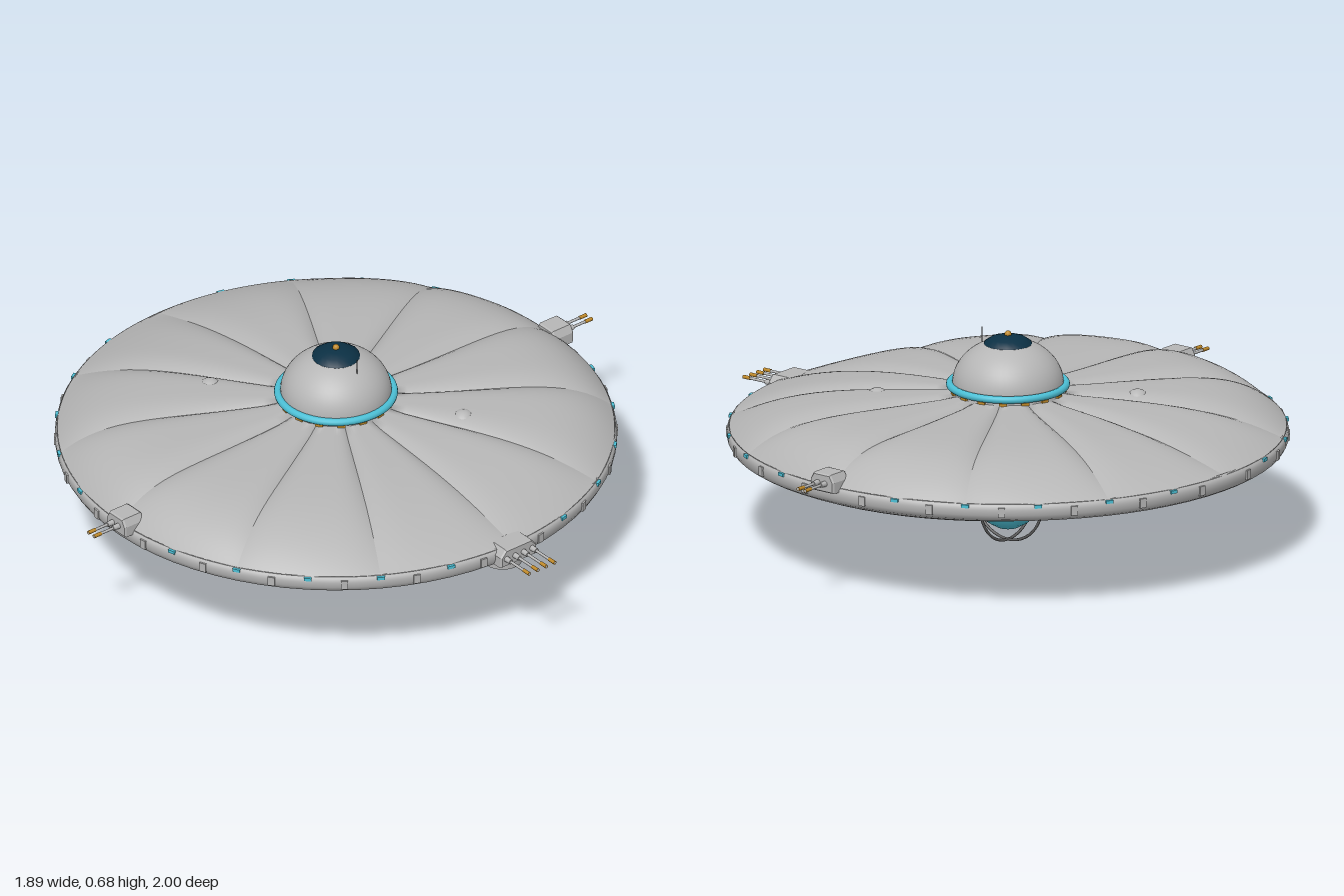
import * as THREE from 'three';
import { ParametricGeometry } from 'three/addons/geometries/ParametricGeometry.js';

const mat = (name, color, side = THREE.FrontSide) => {
  const m = new THREE.MeshStandardMaterial({ color, side });
  m.name = name;
  return m;
};

export function createModel() {
  const hull = mat('hull grey', 0xb6b6b6, THREE.DoubleSide);
  const steel = mat('dark steel', 0x5c5c5c);
  const teal = mat('teal', 0x4cc0d6);
  const navy = mat('dark glass', 0x0b3044);
  const gold = mat('gold', 0xc08a2a);

  const model = new THREE.Group();
  model.name = 'saucer';
  const craft = new THREE.Group();
  craft.name = 'craft';
  craft.position.x = -0.07; // the long nose cannon shifts the disc off centre
  model.add(craft);

  const add = (name, geo, material, x = 0, y = 0, z = 0, parent = craft) => {
    const m = new THREE.Mesh(geo, material);
    m.name = name;
    m.position.set(x, y, z);
    parent.add(m);
    return m;
  };
  const lathe = (pts, seg = 64) => new THREE.LatheGeometry(pts.map(p => new THREE.Vector2(...p)), seg);
  const cyl = (r1, r2, h, seg = 24) => new THREE.CylinderGeometry(r1, r2, h, seg);

  // Disc: fuller towards front and back than towards the sides
  const R = 0.868;
  const fullness = (a, lo, hi) => lo + (hi - lo) * Math.sin(a) ** 2;

  // Twelve puffed upper panels meeting in sharp valleys
  for (let k = 0; k < 12; k++) {
    const panel = (u, v, out) => {
      const a = (k + v) * Math.PI / 6;
      const s = 1 - (1 - u) ** 2;
      const r = 0.15 + (R - 0.15) * s;
      const valley = 0.02 * Math.abs(2 * v - 1) ** 4 * Math.sqrt(Math.max(0, s * (1 - s) * 4));
      const y = 0.375 + 0.115 * (1 - (r / R) ** fullness(a, 3.2, 9)) - valley;
      out.set(r * Math.cos(a), y, -r * Math.sin(a));
    };
    add('upperPanel' + (k + 1), new ParametricGeometry(panel, 18, 16), hull);
  }

  // Smooth belly
  add('belly', new ParametricGeometry((u, v, out) => {
    const a = v * Math.PI * 2;
    const s = 0.02 + 0.98 * (1 - (1 - u) ** 2);
    const y = 0.318 - 0.066 * (1 - s ** fullness(a, 2.4, 6));
    out.set(s * 0.855 * Math.cos(a), y, s * 0.855 * Math.sin(a));
  }, 18, 72), hull);

  // Rim band with blocks and lights
  add('rim', lathe([[0.85, 0.316], [0.866, 0.325], [0.874, 0.34], [0.875, 0.357], [0.872, 0.37], [0.86, 0.378]], 72), hull);
  for (let i = 0; i < 24; i++) {
    const place = (name, geo, m, a, y) => {
      add(name, geo, m, Math.sin(a) * 0.873, y, Math.cos(a) * 0.873).rotation.y = a;
    };
    const a = i * Math.PI / 12;
    if (i % 6) place('rimLight', new THREE.BoxGeometry(0.024, 0.01, 0.009), teal, a, 0.368);
    place('rimBlock', new THREE.BoxGeometry(0.022, 0.03, 0.01), hull, a + Math.PI / 24, 0.35);
  }

  // Cabin dome on its collar
  add('domeCollar', cyl(0.172, 0.18, 0.045, 48), hull, 0, 0.487);
  add('domeRing', new THREE.TorusGeometry(0.181, 0.012, 12, 64), teal, 0, 0.51).rotation.x = Math.PI / 2;
  for (let i = 0; i < 16; i++) {
    const a = (i + 0.5) * Math.PI / 8;
    add('collarLight', new THREE.BoxGeometry(0.025, 0.009, 0.009), gold,
      Math.sin(a) * 0.178, 0.493, Math.cos(a) * 0.178).rotation.y = a;
  }
  const dome = add('dome', new THREE.SphereGeometry(0.174, 48, 16, 0, Math.PI * 2, 0, Math.PI / 2), hull, 0, 0.512);
  dome.scale.y = 0.82;
  add('domeCap', lathe([[0.077, 0.634], [0.074, 0.645], [0.055, 0.658], [0.03, 0.666], [0, 0.669]], 20), navy);
  add('capTip', new THREE.SphereGeometry(0.011, 12, 8), gold, 0, 0.671);
  add('antenna', cyl(0.002, 0.002, 0.075, 6), steel, 0.104, 0.638);

  // Two sensor bubbles on the deck
  for (const [x, z] of [[0.32, -0.25], [-0.32, 0.245]]) {
    add('sensor', new THREE.SphereGeometry(0.04, 20, 12), hull, x, 0.455, z);
    add('sensorLight', new THREE.SphereGeometry(0.009, 8, 6), teal, x + 0.033, 0.474, z);
  }

  // Belly collar, glowing orb and its cage
  add('bellyCollar', lathe([[0, 0.212], [0.15, 0.209], [0.235, 0.207], [0.25, 0.211], [0.255, 0.219],
    [0.25, 0.227], [0.225, 0.235], [0.21, 0.256], [0, 0.262]], 48), hull);
  add('orbRing', new THREE.TorusGeometry(0.135, 0.009, 10, 48), teal, 0, 0.207).rotation.x = Math.PI / 2;
  add('orb', new THREE.SphereGeometry(0.102, 14, 9), teal, 0, 0.143);
  const hoop = new THREE.TorusGeometry(0.136, 0.0045, 8, 48);
  add('cageHoopFront', hoop, steel, 0, 0.141);
  add('cageHoopSide', hoop, steel, 0, 0.141).rotation.y = Math.PI / 2;
  add('cageHoopLevel', hoop, steel, 0, 0.141).rotation.x = Math.PI / 2;

  // Gun turret facing +z, turned to its bearing
  const turret = (name, bearing, y, offset, width, barrels, gap, tip) => {
    const g = new THREE.Group();
    g.name = name;
    g.rotation.y = bearing;
    craft.add(g);
    const shape = new THREE.Shape([[-0.5, -0.025], [0.5, -0.025], [0.5, 0.005], [0.36, 0.026], [-0.36, 0.026], [-0.5, 0.005]]
      .map(([a, b]) => new THREE.Vector2(a * width, b)));
    const body = new THREE.ExtrudeGeometry(shape, { depth: 0.065, bevelEnabled: true, bevelSize: 0.004, bevelThickness: 0.006, bevelSegments: 1 });
    add('turretBody', body, hull, offset, y, 0.83, g);
    const start = 0.89;
    for (let i = 0; i < barrels; i++) {
      const x = offset + (i - (barrels - 1) / 2) * gap;
      const rod = (n, geo, m, z) => { add(n, geo, m, x, y, z, g).rotation.x = Math.PI / 2; };
      rod('barrelSleeve', cyl(0.008, 0.01, 0.035, 12), hull, start + 0.017);
      rod('barrel', cyl(0.0045, 0.0045, tip - start, 10), hull, (tip + start) / 2);
      rod('muzzle', cyl(0.006, 0.006, 0.028, 10), gold, tip - 0.014);
    }
  };
  turret('frontTurret', 0, 0.392, 0.02, 0.085, 2, 0.028, 1);
  turret('backTurret', Math.PI, 0.392, -0.02, 0.085, 2, 0.028, 1);
  turret('leftTurret', Math.PI / 2, 0.355, 0, 0.135, 4, 0.034, 1.015);

  // Round pod beneath the side turret
  add('pod', cyl(0.064, 0.062, 0.045, 28), hull, 0.82, 0.317);

  return model;
}
